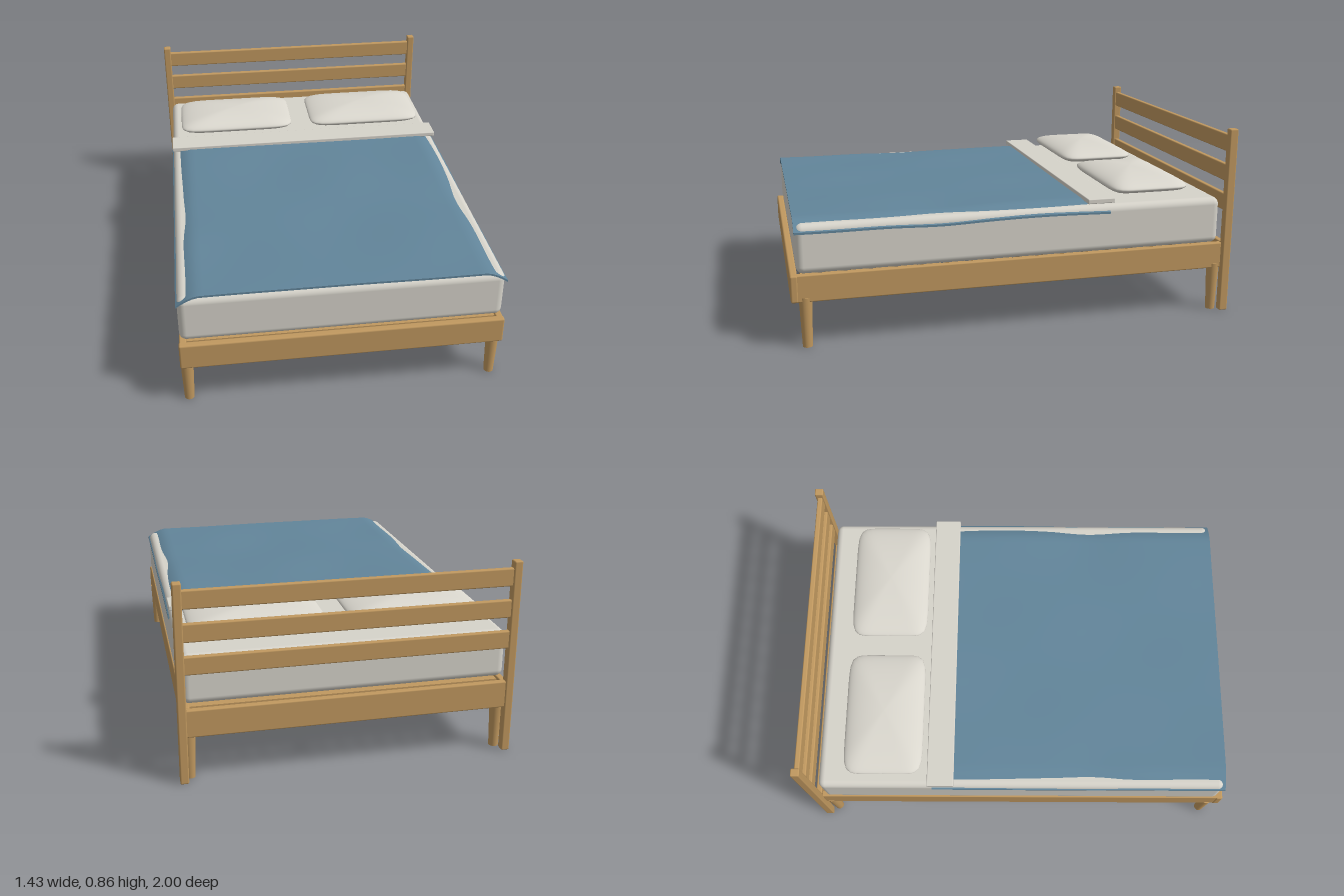
import * as THREE from 'three';
import { RoundedBoxGeometry } from 'three/addons/geometries/RoundedBoxGeometry.js';

const material = (name, color) => {
  const m = new THREE.MeshStandardMaterial({ color });
  m.name = name;
  return m;
};

export function createModel() {
  const bed = new THREE.Group();
  bed.name = 'bed';
  const wood = material('wood', 0xc0985f);
  const linen = material('linen', 0xd6d3ca);
  const pillowLinen = material('pillow linen', 0xdad7ce);
  const wool = material('blue wool', 0x62859a);

  const add = (name, geometry, mat, x = 0, y = 0, z = 0) => {
    const mesh = new THREE.Mesh(geometry, mat);
    mesh.name = name;
    mesh.position.set(x, y, z);
    bed.add(mesh);
  };
  // Rounded box given by its limits on each axis
  const block = (name, mat, [x0, x1], [y0, y1], [z0, z1], r = 0.006, seg = 2) =>
    add(name, new RoundedBoxGeometry(x1 - x0, y1 - y0, z1 - z0, seg, r), mat,
      (x0 + x1) / 2, (y0 + y1) / 2, (z0 + z1) / 2);

  // Frame rails, posts and tapered legs
  block('footRail', wood, [-0.695, 0.695], [0.205, 0.325], [0.968, 1], 0.008);
  for (const s of [-1, 1]) {
    const side = s < 0 ? 'right' : 'left';
    const span = (a, b) => (s < 0 ? [-b, -a] : [a, b]);
    block(side + 'SideRail', wood, span(0.662, 0.692), [0.205, 0.325], [-0.965, 0.985]);
    block(side + 'HeadPost', wood, span(0.679, 0.715), [0, 0.86], [-1, -0.96]);
    for (const z of [0.938, -0.935]) {
      add(side + (z > 0 ? 'FrontLeg' : 'BackLeg'),
        new THREE.CylinderGeometry(0.029, 0.021, 0.225, 20), wood, s * 0.668, 0.1125, z);
    }
  }

  // Headboard slats and lower rail
  for (const y of [0.79, 0.6525, 0.515]) {
    block('headboardSlat', wood, [-0.685, 0.685], [y - 0.039, y + 0.039], [-0.992, -0.968]);
  }
  block('headRail', wood, [-0.685, 0.685], [0.205, 0.325], [-0.994, -0.966]);

  // Slatted base on a centre beam
  block('centreBeam', wood, [-0.025, 0.025], [0.225, 0.285], [-0.968, 0.97]);
  const slatGeometry = new THREE.BoxGeometry(1.33, 0.03, 0.07);
  for (let i = 0; i < 18; i++) {
    add('baseSlat', slatGeometry, wood, 0, 0.3, -0.9 + i * 0.107);
  }

  // Mattress
  block('mattress', linen, [-0.69, 0.69], [0.325, 0.54], [-0.945, 0.972], 0.032, 5);

  // Blanket: a thin sheet that ripples and sinks toward its sides
  const blanketGeometry = new THREE.BoxGeometry(1.39, 0.009, 1.385, 60, 1, 44);
  const bp = blanketGeometry.attributes.position;
  for (let i = 0; i < bp.count; i++) {
    const x = bp.getX(i), z = bp.getZ(i) + 0.283;
    const t = Math.max(0, (Math.abs(x) - 0.6) / 0.095);
    const dip = 0.006 * Math.exp(-(((z - 0.36) / 0.16) ** 2)) * Math.min(1, Math.abs(x) / 0.6) ** 4;
    const ripple = 0.0025 * Math.sin(x * 11 + 0.6) * Math.cos(z * 5) + 0.0015 * Math.sin(z * 9 + x * 4);
    const drop = 0.043 * t ** 1.6;
    bp.setY(i, bp.getY(i) + 0.5515 + ripple - dip - drop);
  }
  blanketGeometry.computeVertexNormals();
  add('blanket', blanketGeometry, wool, 0, 0, 0.283);

  // Turned-down sheet
  block('foldedSheet', linen, [-0.692, 0.692], [0.55, 0.572], [-0.43, -0.305], 0.004);

  // Pillows: a sphere squared into a cushion with a rounded-rectangle outline
  const pillowGeometry = new THREE.SphereGeometry(1, 64, 32);
  const pp = pillowGeometry.attributes.position;
  for (let i = 0; i < pp.count; i++) {
    const x = pp.getX(i), y = pp.getY(i), z = pp.getZ(i);
    const angle = Math.atan2(z, x), c = Math.cos(angle), s = Math.sin(angle);
    const reach = Math.hypot(x, z) ** 1.15 / (c ** 8 + s ** 8) ** (1 / 8);
    const height = Math.sign(y) * Math.abs(y) ** 1.1;
    pp.setXYZ(i, c * reach * 0.295, height * 0.05, s * reach * 0.185);
  }
  pillowGeometry.computeVertexNormals();
  for (const s of [-1, 1]) {
    add(s < 0 ? 'rightPillow' : 'leftPillow', pillowGeometry, pillowLinen, s * 0.345, 0.586, -0.637);
  }

  return bed;
}
